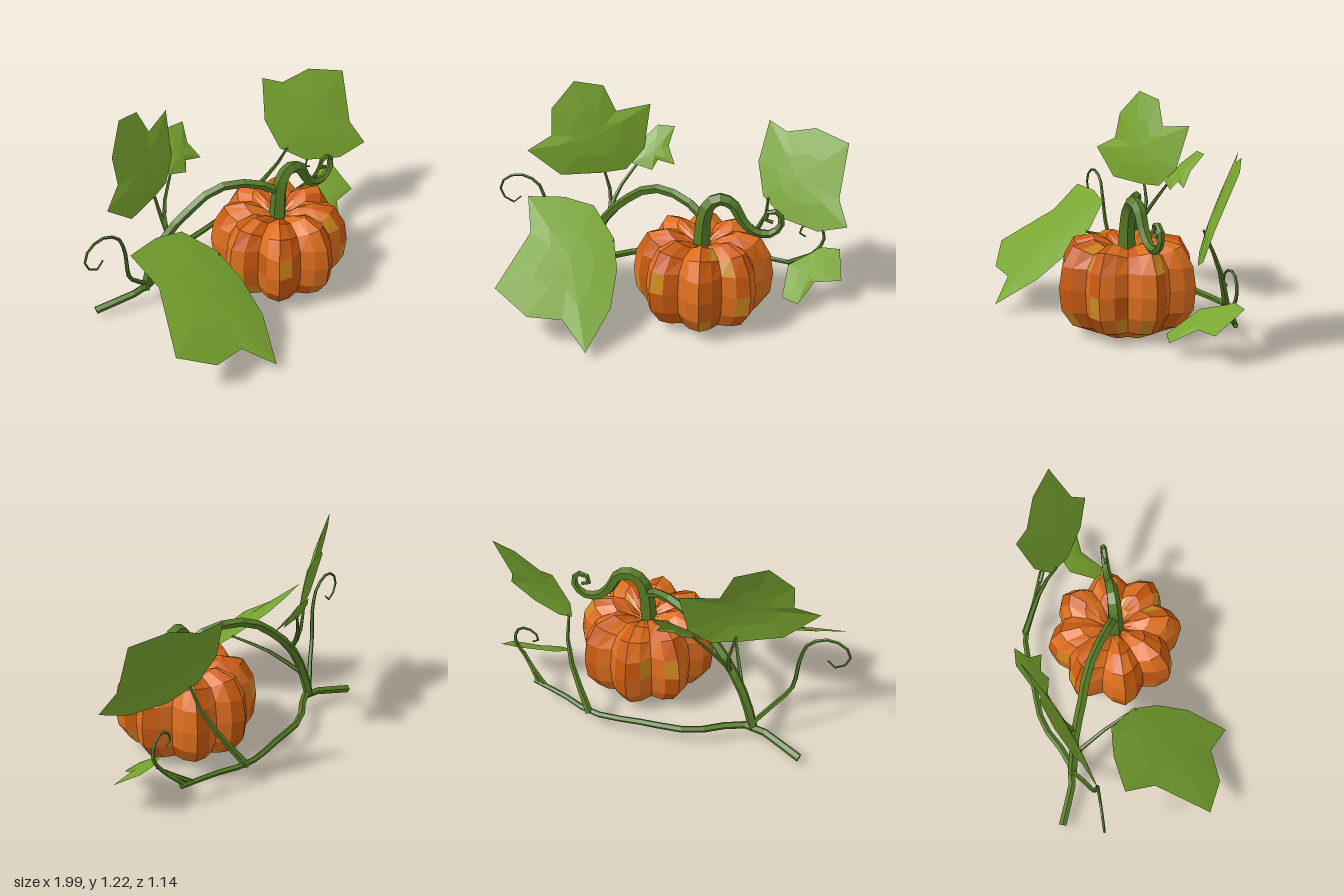
import * as THREE from 'three';

const mat = (name, color, side = THREE.FrontSide) => {
  const m = new THREE.MeshStandardMaterial({ color, side, flatShading: true });
  m.name = name;
  return m;
};

// Flat-shaded mesh from a loose list of triangle corners
function facetMesh(name, corners, material) {
  const g = new THREE.BufferGeometry();
  g.setAttribute('position', new THREE.Float32BufferAttribute(corners.flatMap(p => [p.x, p.y, p.z]), 3));
  g.computeVertexNormals();
  const mesh = new THREE.Mesh(g, material);
  mesh.name = name;
  return mesh;
}

// Tapered, capped low-poly tube through a few points
function vine(name, points, r0, r1, segments, material, sides = 5) {
  const curve = new THREE.CatmullRomCurve3(points.map(p => new THREE.Vector3(...p)));
  const g = new THREE.TubeGeometry(curve, segments, 1, sides);
  const pos = g.attributes.position;
  const ring = (i, j) => {
    const c = curve.getPointAt(i / segments);
    const v = new THREE.Vector3().fromBufferAttribute(pos, i * (sides + 1) + j);
    return v.sub(c).multiplyScalar(r0 + (r1 - r0) * i / segments).add(c);
  };
  const out = [];
  for (let i = 0; i < segments; i++) {
    for (let j = 0; j < sides; j++) {
      const a = ring(i, j), b = ring(i + 1, j), c = ring(i + 1, j + 1), d = ring(i, j + 1);
      out.push(a, b, d, b, c, d);
    }
  }
  for (let j = 1; j < sides - 1; j++) {
    out.push(ring(0, 0), ring(0, j), ring(0, j + 1));
    out.push(ring(segments, 0), ring(segments, j + 1), ring(segments, j));
  }
  return facetMesh(name, out, material);
}

// Lobed leaf: outline in x and y laid on the plane z = a + bx + cy, with a raised middle
function leaf(name, outline, [a, b, c], [cx, cy], bulge, material) {
  const at = (x, y, lift = 0) => new THREE.Vector3(x, y, a + b * x + c * y + lift);
  const mid = at(cx, cy, bulge);
  const out = [];
  outline.forEach((p, i) => {
    const q = outline[(i + 1) % outline.length];
    const P = at(...p), Q = at(...q);
    // inner ring makes the blade curve
    const p1 = at(cx + (p[0] - cx) * 0.5, cy + (p[1] - cy) * 0.5, bulge * 0.75);
    const q1 = at(cx + (q[0] - cx) * 0.5, cy + (q[1] - cy) * 0.5, bulge * 0.75);
    out.push(mid, q1, p1, p1, q1, P, q1, Q, P);
  });
  return facetMesh(name, out, material);
}

// Eight-lobed pumpkin with patches of three skin colours
function pumpkin(skins) {
  const profile = [[0.012, 0], [0, 0.17], [0.06, 0.318], [0.15, 0.38], [0.27, 0.393], [0.39, 0.375],
    [0.495, 0.315], [0.522, 0.2], [0.49, 0.11], [0.44, 0.04]];
  const lobe = [1, 0.925, 0.8, 0.925]; // crest, flank, valley, flank
  const cols = 32;
  const point = (i, j) => {
    const [y, r] = profile[i];
    const k = lobe[j % 4], t = j / cols * Math.PI * 2;
    const drop = y > 0.45 ? (1 - k) * 0.18 : 0;
    return new THREE.Vector3(0.2 + Math.sin(t) * r * k, y - drop, 0.03 + Math.cos(t) * r * k);
  };
  const patches = skins.map(() => []);
  let seed = 11;
  const random = () => (seed = seed * 16807 % 2147483647) / 2147483647;
  for (let j = 0; j < cols; j++) {
    const deepSide = random() < 0.25;
    for (let i = 0; i < profile.length - 1; i++) {
      const n = random();
      const skin = n < 0.1 ? 2 : deepSide || n > 0.9 ? 1 : 0;
      const a = point(i, j), b = point(i, j + 1), c = point(i + 1, j + 1), d = point(i + 1, j);
      patches[skin].push(a, b, c, a, c, d);
    }
  }
  const group = new THREE.Group();
  group.name = 'pumpkin';
  skins.forEach((m, i) => group.add(facetMesh('pumpkinSkin' + (i + 1), patches[i], m)));
  return group;
}

export function createModel() {
  const model = new THREE.Group();
  model.name = 'pumpkinPlant';
  const skins = [mat('orange skin', 0xdc6e1e), mat('deep orange skin', 0xc8590f), mat('golden skin', 0xd08a20)];
  const green = mat('vine green', 0x557a24);
  const leafGreen = mat('leaf green', 0x78a52f, THREE.DoubleSide);

  model.add(pumpkin(skins));

  // Stem and its curled tip
  model.add(vine('pumpkinStem', [[0.19, 0.44, 0.03], [0.2, 0.6, 0.03], [0.23, 0.69, 0.03], [0.29, 0.72, 0.03],
    [0.36, 0.69, 0.03], [0.41, 0.6, 0.03], [0.48, 0.53, 0.03], [0.57, 0.52, 0.03], [0.625, 0.58, 0.03],
    [0.61, 0.65, 0.03], [0.55, 0.65, 0.03], [0.54, 0.6, 0.03], [0.58, 0.59, 0.03]], 0.05, 0.011, 22, green));

  // Arching vine and the vine along the ground
  model.add(vine('archVine', [[0.2, 0.6, 0.03], [0.12, 0.66, -0.02], [0, 0.69, -0.1], [-0.12, 0.67, -0.17],
    [-0.25, 0.58, -0.22], [-0.38, 0.44, -0.28], [-0.47, 0.27, -0.31], [-0.52, 0.1, -0.33]], 0.026, 0.028, 10, green));
  model.add(vine('groundVine', [[-0.8, 0.045, -0.43], [-0.5, 0.11, -0.33], [-0.2, 0.115, -0.46], [0.05, 0.12, -0.48],
    [0.35, 0.125, -0.49], [0.55, 0.13, -0.41], [0.75, 0.13, -0.34]], 0.023, 0.014, 14, green));

  // Leaf stalks
  const stalks = [
    ['upperLeafStalk', [[-0.37, 0.45, -0.29], [-0.37, 0.55, -0.34], [-0.41, 0.72, -0.34]], 0.014],
    ['smallLeafStalk', [[-0.37, 0.45, -0.29], [-0.33, 0.56, -0.35], [-0.2, 0.74, -0.42]], 0.014],
    ['frontLeafStalk', [[-0.46, 0.26, -0.31], [-0.38, 0.38, -0.13], [-0.3, 0.45, 0.07]], 0.014],
    ['rightLeafStalk', [[0.37, 0.12, -0.49], [0.5, 0.35, -0.38], [0.54, 0.46, -0.32], [0.55, 0.6, -0.25]], 0.022],
    ['lowerLeafStalk', [[0.68, 0.13, -0.36], [0.77, 0.2, -0.31], [0.84, 0.26, -0.26]], 0.014],
  ];
  for (const [name, path, r] of stalks) model.add(vine(name, path, r, 0.007, 4, green));

  // Curling tendrils
  model.add(vine('leftTendril', [[-0.52, 0.14, -0.33], [-0.62, 0.25, -0.27], [-0.7, 0.35, -0.23], [-0.73, 0.55, -0.21],
    [-0.77, 0.66, -0.21], [-0.87, 0.71, -0.21], [-0.96, 0.68, -0.21], [-0.99, 0.61, -0.21], [-0.95, 0.545, -0.21],
    [-0.9, 0.535, -0.21], [-0.875, 0.57, -0.21]], 0.015, 0.005, 18, green));
  model.add(vine('rightTendril', [[0.72, 0.13, -0.35], [0.82, 0.24, -0.28], [0.88, 0.34, -0.27], [0.86, 0.42, -0.27],
    [0.81, 0.445, -0.27], [0.755, 0.42, -0.27], [0.74, 0.375, -0.27], [0.775, 0.355, -0.27]], 0.014, 0.005, 14, green));

  // Leaves
  model.add(leaf('upperLeaf', [[-0.82, 0.86], [-0.69, 0.93], [-0.69, 1.08], [-0.57, 1.22], [-0.41, 1.18], [-0.34, 1.03],
    [-0.15, 1.05], [-0.18, 0.8], [-0.28, 0.69], [-0.42, 0.685], [-0.64, 0.7]],
  [-0.339, -0.386, -0.218], [-0.46, 0.9], 0.03, leafGreen));
  model.add(leaf('smallLeaf', [[-0.11, 0.91], [-0.01, 0.905], [-0.04, 0.81], [0, 0.72], [-0.1, 0.74], [-0.13, 0.69],
    [-0.25, 0.72], [-0.2, 0.83]], [0.115, 0, -0.72], [-0.12, 0.79], 0.015, leafGreen));
  model.add(leaf('frontLeaf', [[-0.8, 0.64], [-0.6, 0.63], [-0.43, 0.59], [-0.3, 0.46], [-0.265, 0.34], [-0.28, 0.2],
    [-0.39, 0.05], [-0.53, 0.17], [-0.72, 0.19], [-0.91, 0.3], [-0.76, 0.5]],
  [0.575, -0.219, -1.282], [-0.52, 0.4], 0.03, leafGreen));
  model.add(leaf('rightLeaf', [[0.54, 1], [0.64, 0.96], [0.8, 1.01], [0.98, 0.97], [0.94, 0.68], [0.99, 0.55],
    [0.83, 0.49], [0.64, 0.51], [0.52, 0.6], [0.485, 0.77]],
  [-0.27, 0.5, -0.45], [0.71, 0.74], 0.02, leafGreen));
  model.add(leaf('lowerLeaf', [[0.65, 0.1], [0.68, 0.22], [0.82, 0.27], [0.86, 0.29], [0.975, 0.285], [0.985, 0.17],
    [0.83, 0.16], [0.74, 0.08]], [0.15, 0, -1.45], [0.8, 0.2], 0.015, leafGreen));

  return model;
}
